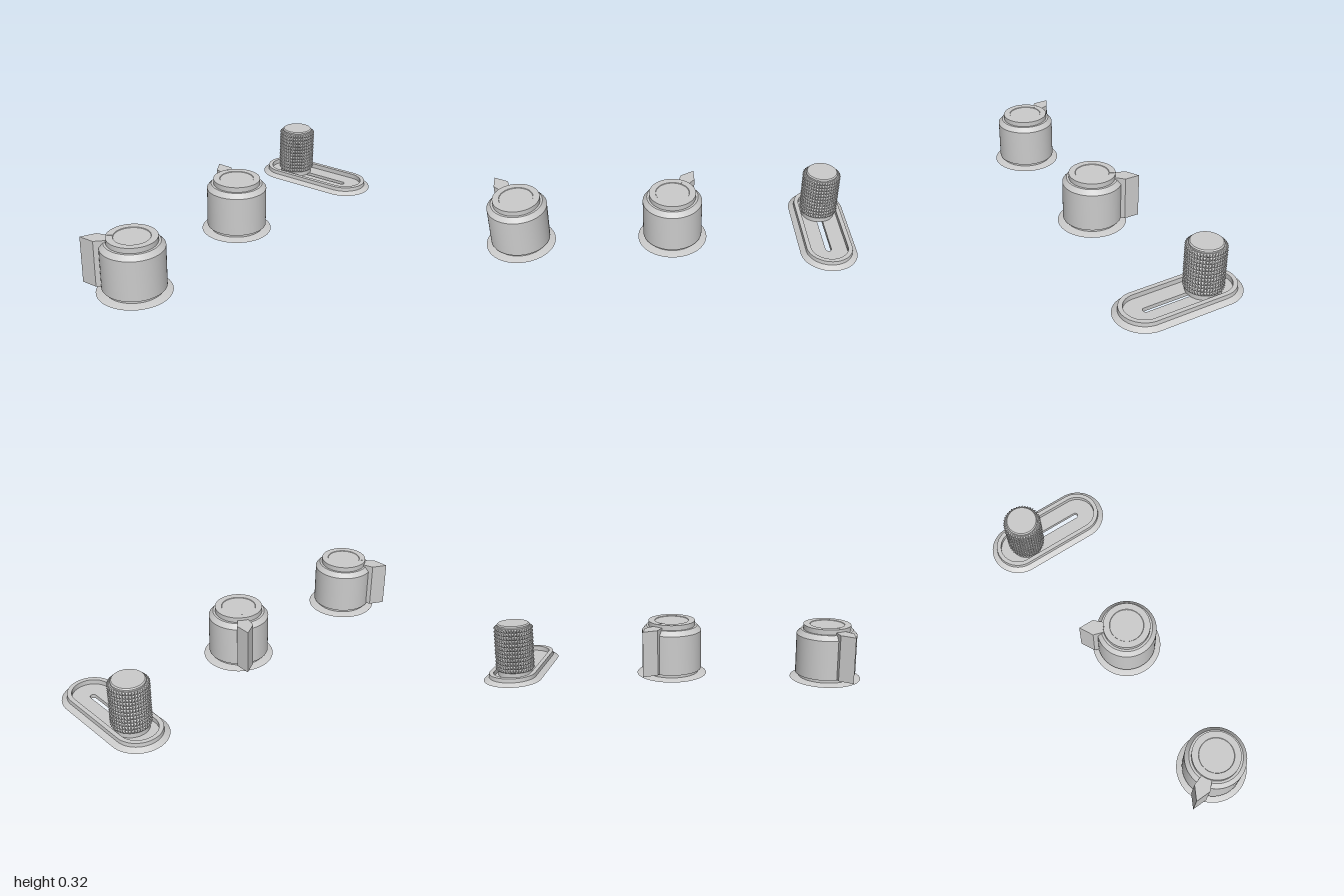
import * as THREE from 'three';
import { toCreasedNormals } from 'three/addons/utils/BufferGeometryUtils.js';

const material = new THREE.MeshStandardMaterial({ color: 0xcccccc });

function part(name, geometry, parent) {
  const mesh = new THREE.Mesh(geometry, material);
  mesh.name = name;
  parent.add(mesh);
  return mesh;
}

// Turned solid from [radius, height] pairs, bottom to top, with crisp edges.
// straight(r) gives half the length by which the two ends are pulled apart in x.
function turned(profile, segments = 64, straight = null) {
  const points = profile.map(([r, y]) => new THREE.Vector2(r, y));
  const geo = new THREE.LatheGeometry(points, segments, straight ? Math.PI / segments : 0);
  if (straight) {
    const p = geo.attributes.position;
    for (let i = 0; i < p.count; i++) {
      const x = p.getX(i);
      p.setX(i, x + Math.sign(x) * straight(Math.hypot(x, p.getZ(i))));
    }
  }
  return toCreasedNormals(geo, 0.4);
}

// Cylinder skin covered in rows of four-sided pyramids.
function knurl(rIn, rOut, y0, y1, columns, rows) {
  const pos = [];
  const at = (r, c, row) => {
    const a = (c / columns) * Math.PI * 2;
    return [r * Math.sin(a), y0 + ((y1 - y0) * row) / rows, r * Math.cos(a)];
  };
  for (let row = 0; row < rows; row++) {
    for (let c = 0; c < columns; c++) {
      const corners = [at(rIn, c, row), at(rIn, c + 1, row), at(rIn, c + 1, row + 1), at(rIn, c, row + 1)];
      const tip = at(rOut, c + 0.5, row + 0.5);
      for (let k = 0; k < 4; k++) pos.push(...corners[k], ...corners[(k + 1) % 4], ...tip);
    }
  }
  const geo = new THREE.BufferGeometry();
  geo.setAttribute('position', new THREE.Float32BufferAttribute(pos, 3));
  geo.computeVertexNormals();
  return geo;
}

// Rotary knob with a sloped skirt, collar and arrow-shaped pointer along local +x.
function rotaryKnob(name) {
  const knob = new THREE.Group();
  knob.name = name;
  part('skirt', turned([[0, 0.026], [0.187, 0.026], [0.147, 0.037], [0, 0.037]]), knob);
  part('knobBody', turned([
    [0.143, 0.035], [0.143, 0.055], [0.159, 0.055], [0.159, 0.267],
    [0.137, 0.292], [0.125, 0.292], [0.125, 0.319],
    [0.091, 0.319], [0.089, 0.316], [0, 0.316],
  ]), knob);

  const outline = new THREE.Shape([
    [0.112, -0.026], [0.178, -0.042], [0.25, 0], [0.178, 0.042], [0.112, 0.026],
  ].map(([x, y]) => new THREE.Vector2(x, y)));
  const pointer = new THREE.ExtrudeGeometry(outline, { depth: 0.244, bevelEnabled: false });
  pointer.rotateX(-Math.PI / 2).translate(0, 0.06, 0);
  part('pointer', pointer, knob);

  // Thin index mark on the collar
  part('indexMark', new THREE.BoxGeometry(0.034, 0.003, 0.008), knob).position.set(0.108, 0.3185, 0);
  return knob;
}

// Slotted oval track with a knurled sliding knob.
function slider() {
  const group = new THREE.Group();
  group.name = 'slider';
  part('track', turned([
    [0.016, 0.016], [0.025, 0.016], [0.025, 0.025], [0.153, 0.025],
    [0.125, 0.042], [0.123, 0.063], [0.1, 0.063], [0.1, 0.037],
    [0.016, 0.037], [0.016, 0.016],
  ], 64, (r) => (r < 0.03 ? 0.185 : 0.197)), group);

  const grip = new THREE.Group();
  grip.name = 'sliderKnob';
  grip.position.x = -0.143;
  part('grip', knurl(0.092, 0.105, 0.064, 0.305, 40, 12), grip);
  part('gripCore', turned([
    [0, 0.038], [0.091, 0.038], [0.092, 0.305], [0.086, 0.305],
    [0.086, 0.313], [0.08, 0.319], [0, 0.3195],
  ]), grip);
  part('pin', turned([[0, 0], [0.011, 0], [0.011, 0.04]], 24), grip);
  group.add(grip);
  return group;
}

export function createModel() {
  const model = new THREE.Group();
  model.name = 'controlKnobs';

  const front = rotaryKnob('frontKnob');
  front.position.set(0, 0, 0.81);
  front.rotation.y = THREE.MathUtils.degToRad(212);

  const middle = rotaryKnob('middleKnob');
  middle.position.set(0.004, 0, -0.016);
  middle.rotation.y = THREE.MathUtils.degToRad(149);

  const back = slider();
  back.position.z = -0.847;

  model.add(front, middle, back);
  return model;
}
